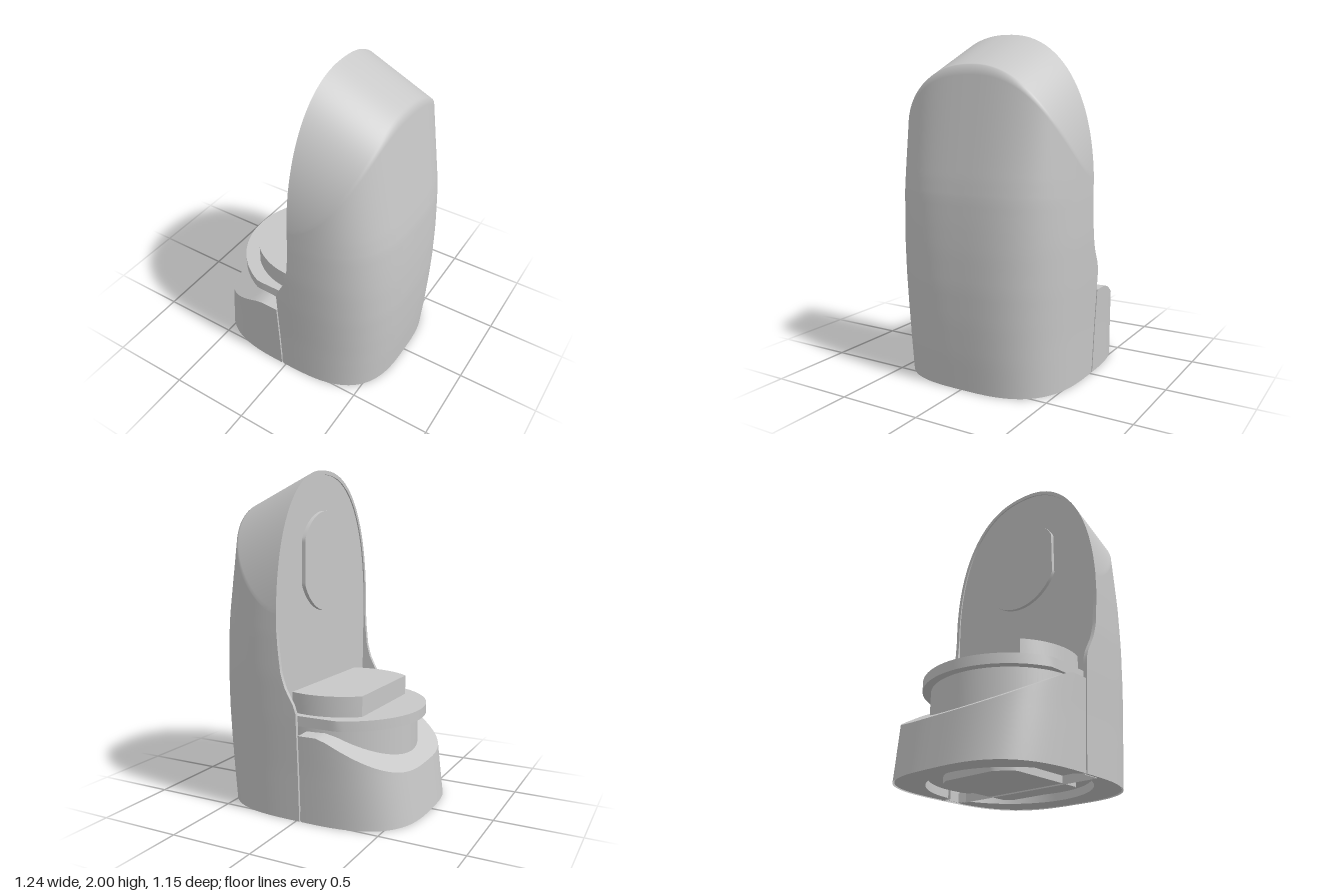
import * as THREE from 'three';
import { toCreasedNormals } from 'three/addons/utils/BufferGeometryUtils.js';

const FACE = 0.09;        // plane of the upright front face
const SPRING = 1.1;       // height where the dome begins
const SQUARE = 3.1;       // squareness of the rounded plan
const lerp = THREE.MathUtils.lerp, clamp = THREE.MathUtils.clamp;

// piecewise linear curve through [key, value] pairs
function along(points, t) {
  for (let i = 1; i < points.length; i++) {
    const [t0, v0] = points[i - 1], [t1, v1] = points[i];
    if (t <= t1) return lerp(v0, v1, clamp((t - t0) / (t1 - t0), 0, 1));
  }
  return points[points.length - 1][1];
}

const towerDepth = [[0, 0.59], [0.2, 0.605], [0.4, 0.615], [0.6, 0.62], [0.8, 0.617], [0.95, 0.61], [1.1, 0.6], [1.2, 0.587], [1.82, 0.487], [2, 0.457]];
const halfWidth = [[0, 0.53], [0.3, 0.543], [0.6, 0.56], [0.85, 0.571], [1.1, 0.575]];
const armEdge = [[0, -0.02], [0.64, -0.02], [0.67, -0.013], [0.7, 0], [0.76, 0.036], [0.8, 0.052], [0.87, 0.07], [1, 0.084], [1.1, FACE]];
const baseTop = [[-0.585, 0.29], [-0.2, 0.495], [-0.14, 0.515], [0, 0.515]];

// rounded-square plan, and a dome that slopes down towards +x
const roundedPlan = (x, y, z, depth) =>
  (Math.abs(x) / depth) ** SQUARE + (Math.abs(z) / along(halfWidth, y)) ** SQUARE - 1;
const planField = (x, y, z) => roundedPlan(x, y, z, along(towerDepth, y));
const baseField = (x, y, z) => roundedPlan(x, y, z, 0.625 - 0.138 * y);
function domeField(x, y, z) {
  const rise = Math.max(0, y - SPRING + 0.46 * (x - FACE)) / 0.9;
  return (Math.abs(z) / 0.576) ** 2.3 + rise ** 2.3 - 1;
}
const towerField = (x, y, z) => Math.max(planField(x, y, z), domeField(x, y, z));

// walk from an inside point to the surface
function cast(field, o, d) {
  let lo = 0, hi = 1.3;
  const at = r => [o[0] + d[0] * r, o[1] + d[1] * r, o[2] + d[2] * r];
  for (let i = 0; i < 32; i++) {
    const mid = (lo + hi) / 2;
    if (field(...at(mid)) < 0) lo = mid; else hi = mid;
  }
  return at(lo);
}
const ray = (azimuth, e) => [Math.cos(e) * Math.cos(azimuth), Math.sin(e), Math.cos(e) * Math.sin(azimuth)];

// elevation at which the sloping roof meets the back
function ridge(azimuth) {
  let lo = 0, hi = Math.PI / 2;
  for (let i = 0; i < 24; i++) {
    const mid = (lo + hi) / 2;
    const p = cast(planField, [FACE, SPRING, 0], ray(azimuth, mid));
    if (domeField(...p) < 0) lo = mid; else hi = mid;
  }
  return lo;
}

// surface from rows and columns of points
function grid(nu, nv, fn, crease = 0.6) {
  const pos = [], index = [];
  for (let j = 0; j <= nv; j++) for (let i = 0; i <= nu; i++) pos.push(...fn(i, j));
  for (let j = 0; j < nv; j++) for (let i = 0; i < nu; i++) {
    const a = j * (nu + 1) + i, b = a + nu + 1;
    index.push(a, a + 1, b, a + 1, b + 1, b);
  }
  const g = new THREE.BufferGeometry();
  g.setAttribute('position', new THREE.Float32BufferAttribute(pos, 3));
  g.setIndex(index);
  return toCreasedNormals(g, crease);
}

// outline of a circle with flats cut into it
function flattedCircle(r, minA, maxA, maxB) {
  const pts = [];
  for (let i = 0; i < 96; i++) {
    const t = i / 96 * Math.PI * 2;
    pts.push(new THREE.Vector2(clamp(r * Math.cos(t), minA, maxA), clamp(r * Math.sin(t), -maxB, maxB)));
  }
  return new THREE.Shape(pts);
}
// extrude a plan shape (x, z) between two heights
function slab(shape, y0, y1) {
  const g = new THREE.ExtrudeGeometry(shape, { depth: y1 - y0, bevelEnabled: false });
  g.rotateX(Math.PI / 2);
  g.translate(0, y1, 0);
  return toCreasedNormals(g, 0.5);
}

export function createModel() {
  const group = new THREE.Group();
  const grey = new THREE.MeshStandardMaterial({ color: 0xc8c8c8, side: THREE.DoubleSide });
  grey.name = 'plain grey';
  const add = (name, geometry, x = 0, y = 0, z = 0) => {
    const mesh = new THREE.Mesh(geometry, grey);
    mesh.name = name;
    mesh.position.set(x, y, z);
    group.add(mesh);
  };

  // tower rows: level rings, then rays up to the ridge, then rays over the roof
  const LOW = 24, RIDGE = 48, ROWS = 80, ARM = 5, ARC = 72;
  const ridges = Array.from({ length: ARC + 1 }, (_, i) => ridge((i / ARC - 0.5) * Math.PI));
  const rowPoint = (i, j) => {
    const azimuth = (i / ARC - 0.5) * Math.PI;
    if (j <= LOW) return cast(towerField, [FACE, SPRING * j / LOW, 0], ray(azimuth, 0));
    const e = j <= RIDGE ? ridges[i] * (j - LOW) / (RIDGE - LOW)
      : lerp(ridges[i], Math.PI / 2, (j - RIDGE) / (ROWS - RIDGE));
    return cast(towerField, [FACE, SPRING, 0], ray(azimuth, e));
  };
  const edgePoint = (side, j) => rowPoint(side > 0 ? ARC : 0, j);
  const armPoint = (side, f, j) => {
    if (j >= LOW) return edgePoint(side, j);
    const y = SPRING * j / LOW;
    return cast(towerField, [lerp(FACE, along(armEdge, y), f), y, 0], [0, 0, side]);
  };
  add('towerShell', grid(ARC + 2 * ARM, ROWS, (i, j) => {
    if (i < ARM) return armPoint(-1, 1 - i / ARM, j);
    if (i > ARM + ARC) return armPoint(1, (i - ARM - ARC) / ARM, j);
    return rowPoint(i - ARM, j);
  }, 1.2));

  // upright face: a narrow rim around a slightly sunk panel, whose lower part
  // also forms the thickness of the arms that reach around the pedestal
  const inner = (side, j) => {
    const p = edgePoint(side, j);
    return [FACE + 0.008, p[1] * (j > LOW ? lerp(1, 0.988, (p[1] - SPRING) / 0.9) : 1), p[2] * 0.96];
  };
  for (const side of [-1, 1]) {
    add('faceRim', grid(2, ROWS, (i, j) => {
      const p = armPoint(side, 1, j), q = inner(side, j);
      if (i === 0) return p;
      return i === 1 ? [p[0], q[1], q[2]] : q;
    }));
  }
  add('facePanel', grid(1, ROWS, (i, j) => inner(i ? 1 : -1, j)));

  // raised pad on the panel
  const pad = new THREE.ExtrudeGeometry(flattedCircle(0.302, -0.27, 0.27, 1), { depth: 0.03, bevelEnabled: false });
  pad.rotateY(-Math.PI / 2);
  add('facePad', toCreasedNormals(pad, 0.5), 0.105, 1.46, -0.005);

  // low base: outer wall, then a sloping top running in to the pedestal
  const WALL = 10, TOP = 8;
  const baseWall = (t, f) => {
    const d = ray(t, 0);
    let y = 0.4, p;
    for (let k = 0; k < 10; k++) {
      p = cast(baseField, [-0.03, y, 0], d);
      y = along(baseTop, p[0]);
    }
    return cast(baseField, [-0.03, y * f, 0], d);
  };
  add('baseShell', grid(64, WALL + TOP, (i, j) => {
    const t = Math.PI * (0.5 + i / 64);
    if (j <= WALL) return baseWall(t, j / WALL);
    const p = baseWall(t, 1), f = (j - WALL) / TOP;
    const x = lerp(p[0], -0.03 + 0.455 * Math.cos(t), f);
    return [x, along(baseTop, x), lerp(p[2], 0.01 + 0.455 * Math.sin(t), f)];
  }));
  for (const side of [-1, 1]) {
    add('baseEnd', grid(1, WALL, (i, j) => {
      const p = baseWall(side > 0 ? Math.PI / 2 : Math.PI * 1.5, j / WALL);
      return i ? [p[0], p[1], side * 0.46] : p;
    }));
  }

  // pedestal, its flat-sided tray and the raised step
  add('pedestal', new THREE.CylinderGeometry(0.46, 0.46, 0.49, 96), -0.03, 0.295, 0.01);
  add('tray', slab(flattedCircle(0.505, -1, 1, 0.47), 0.54, 0.6), -0.035, 0, 0.01);
  add('trayStep', slab(flattedCircle(0.425, -0.28, 1, 1), 0.6, 0.72), -0.03, 0, 0.01);

  // underside plate with a round opening, side slots and a central plug
  const outline = [], hole = [];
  for (let i = 0; i < 128; i++) {
    const t = i / 128 * Math.PI * 2, c = Math.cos(t), s = Math.sin(t);
    const p = cast(c > 0 ? towerField : baseField, [0, 0, 0], [c, 0, s]);
    outline.push(new THREE.Vector2(p[0] * 0.985, p[2] * 0.985));
    const x = -0.03 + 0.465 * c, z = 0.01 + 0.465 * s;
    hole.push(new THREE.Vector2(x, x > -0.04 && x < FACE ? Math.sign(s) * 0.505 : z));
  }
  const plate = new THREE.Shape(outline);
  plate.holes.push(new THREE.Path(hole));
  add('undersidePlate', slab(plate, 0.004, 0.06));
  add('undersidePlug', slab(flattedCircle(0.37, -0.33, 0.29, 0.27), 0.008, 0.06), -0.03, 0, 0.01);
  return group;
}
